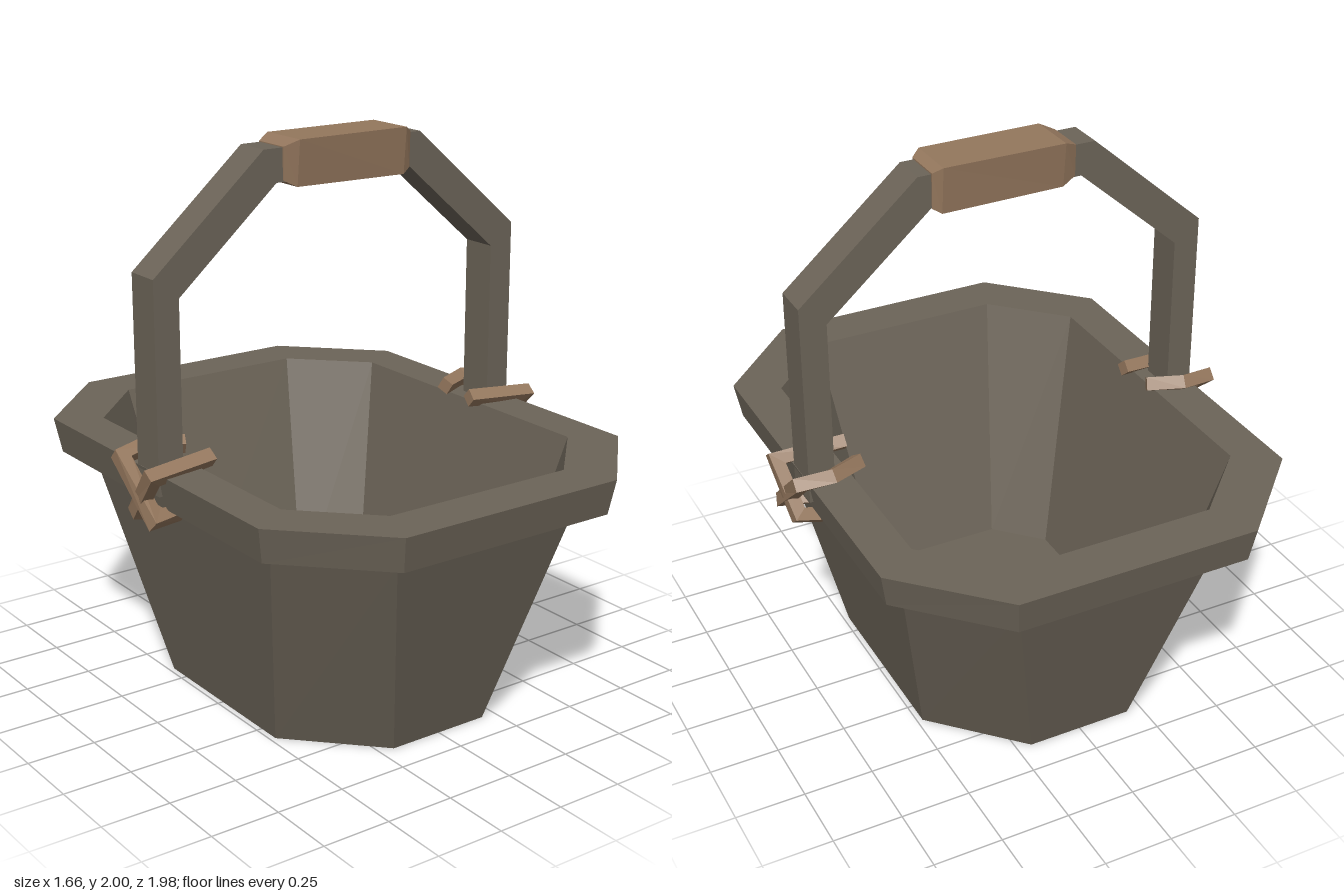
import * as THREE from 'three';

// Faceted skin over a list of equal-length rings, closed with a cap at each end.
// Rings run counter-clockwise around the direction of travel.
function loft(rings) {
  const pos = [];
  const tri = (...pts) => pts.forEach((p) => pos.push(p.x, p.y, p.z));
  const n = rings[0].length;
  for (let r = 0; r < rings.length - 1; r++) {
    const a = rings[r], b = rings[r + 1];
    for (let i = 0; i < n; i++) {
      const j = (i + 1) % n;
      tri(a[i], a[j], b[j]);
      tri(a[i], b[j], b[i]);
    }
  }
  const first = rings[0], last = rings[rings.length - 1];
  for (let i = 1; i < n - 1; i++) {
    tri(first[0], first[i + 1], first[i]);
    tri(last[0], last[i], last[i + 1]);
  }
  const geo = new THREE.BufferGeometry();
  geo.setAttribute('position', new THREE.Float32BufferAttribute(pos, 3));
  geo.computeVertexNormals();
  return geo;
}

// Octagonal ring: half sizes hx, hz and the half lengths cx, cz of its straight edges
function octagon(y, hx, hz, cx, cz) {
  return [[-cx, hz], [cx, hz], [hx, cz], [hx, -cz], [cx, -hz], [-cx, -hz], [-hx, -cz], [-hx, cz]]
    .map(([x, z]) => new THREE.Vector3(x, y, z));
}

// Rectangular bar swept along a bent path with mitred corners
function bar(points, thick, wide) {
  const p = points.map((q) => new THREE.Vector3(...q));
  const dirs = p.slice(1).map((q, i) => q.clone().sub(p[i]).normalize());
  const bend = new THREE.Vector3();
  for (let i = 1; i < dirs.length; i++) bend.add(dirs[i - 1].clone().cross(dirs[i]));
  bend.normalize();
  return loft(p.map((q, i) => {
    const before = dirs[Math.max(i - 1, 0)], after = dirs[Math.min(i, dirs.length - 1)];
    const t = before.clone().add(after).normalize();
    const n = bend.clone().cross(t).normalize();
    const b = t.clone().cross(n);
    n.multiplyScalar(thick / 2 / Math.max(t.dot(before), 0.6));
    b.multiplyScalar(wide / 2);
    return [[1, 1], [-1, 1], [-1, -1], [1, -1]]
      .map(([u, v]) => q.clone().addScaledVector(n, u).addScaledVector(b, v));
  }));
}

export function createModel() {
  const group = new THREE.Group();
  const wood = new THREE.MeshStandardMaterial({ color: 0x6c6458, flatShading: true });
  wood.name = 'grey brown wood';
  const leather = new THREE.MeshStandardMaterial({ color: 0x94775d, flatShading: true });
  leather.name = 'tan leather';

  const add = (name, geo, mat) => {
    const mesh = new THREE.Mesh(geo, mat);
    mesh.name = name;
    group.add(mesh);
  };

  // Tub: outer wall, flared rim, inner wall and floor as one skin
  add('tub', loft([
    octagon(0, 0.48, 0.63, 0.195, 0.335),
    octagon(0.785, 0.645, 0.857, 0.365, 0.562),
    octagon(0.785, 0.66, 0.87, 0.372, 0.575),
    octagon(0.815, 0.735, 0.967, 0.425, 0.65),
    octagon(0.94, 0.757, 0.99, 0.438, 0.667),
    octagon(0.94, 0.607, 0.815, 0.363, 0.57),
    octagon(0.045, 0.413, 0.56, 0.253, 0.393),
  ]), wood);

  // Handle: bent arch outline, extruded front to back
  const outer = [[0.755, 0.86], [0.755, 1.6], [0.325, 1.975]];
  const inner = [[0.275, 1.86], [0.66, 1.525], [0.66, 0.86]];
  const half = [...outer, ...inner];
  const mirror = (list) => list.map(([x, y]) => [-x, y]).reverse();
  const outline = [...outer, ...mirror(outer), ...mirror(inner), ...inner];
  const arch = new THREE.Shape(outline.map(([x, y]) => new THREE.Vector2(x, y)));
  const archGeo = new THREE.ExtrudeGeometry(arch, { depth: 0.135, bevelEnabled: false });
  archGeo.translate(0, 0, -0.065);
  add('handle', archGeo, wood);

  // Grip: slightly uneven wrapped block with tapered ends
  const gripRing = (x, top, bottom, wideTop, wideBottom) =>
    [[top, -wideTop], [top, wideTop], [bottom, wideBottom], [bottom, -wideBottom]]
      .map(([y, z]) => new THREE.Vector3(x, y, z + 0.003));
  add('grip', loft([
    gripRing(-0.25, 1.978, 1.865, 0.073, 0.07),
    gripRing(-0.2, 2.0, 1.84, 0.096, 0.08),
    gripRing(0.245, 2.0, 1.835, 0.094, 0.08),
    gripRing(0.277, 1.98, 1.855, 0.074, 0.07),
  ]), leather);

  // Crossed lashings that tie the handle to the rim on both sides
  const lashes = [
    [[0.56, 0.968, 0.085], [0.805, 0.95, 0.112], [0.785, 0.795, -0.025], [0.665, 0.765, -0.03]],
    [[0.57, 0.975, -0.065], [0.69, 0.978, -0.118], [0.8, 0.965, -0.098],
      [0.79, 0.795, 0.095], [0.67, 0.79, 0.06]],
  ];
  for (const side of [1, -1]) {
    lashes.forEach((path, i) => {
      const points = path.map(([x, y, z]) => [x * side, y, z]);
      add(`${side > 0 ? 'left' : 'right'}Lashing${i + 1}`, bar(points, 0.045, 0.048), leather);
    });
  }
  return group;
}
